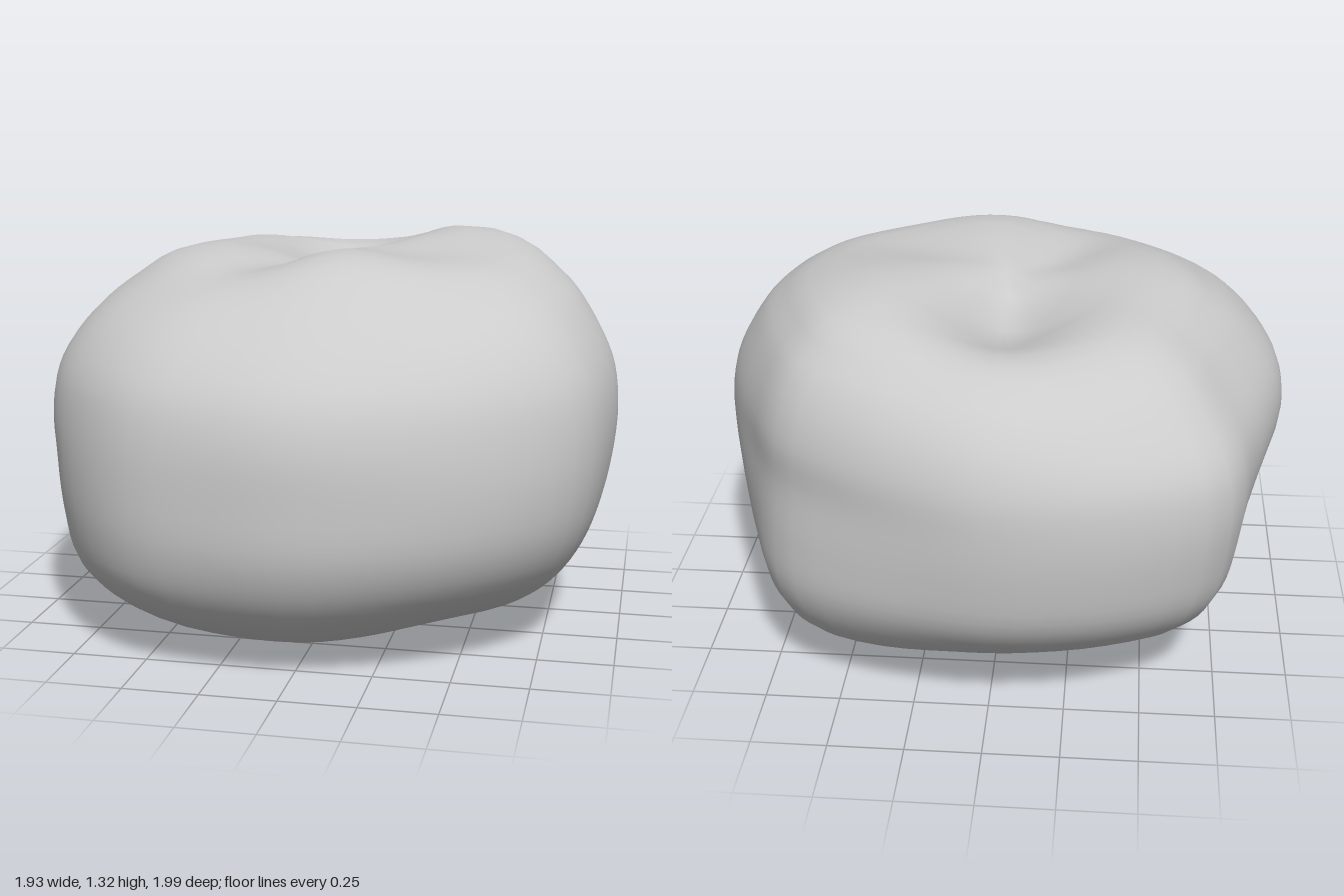
import * as THREE from 'three';
import { mergeVertices } from 'three/addons/utils/BufferGeometryUtils.js';

// Plan radius every 15 degrees, from +x round towards +z
const PLAN = [0.965, 0.99, 1.03, 1.02, 1.0, 0.99, 1.0, 1.01, 1.04, 1.04, 1.03, 0.995,
  0.965, 0.94, 0.97, 1.07, 1.04, 1.01, 0.99, 0.965, 0.965, 0.98, 0.94, 0.94];

// Heights of the cross-sections between the base and the crown
const HEIGHTS = [0.02, 0.07, 0.15, 0.27, 0.42, 0.6, 0.78, 0.93, 1.07, 1.18, 1.27];
const TOP = 1.33;

// Fraction of the plan radius at each height, every 45 degrees
const SIDES = [
  [0.45, 0.66, 0.8, 0.885, 0.945, 0.985, 1, 0.975, 0.9, 0.8, 0.6], // left
  [0.35, 0.54, 0.72, 0.88, 0.97, 1, 0.99, 0.95, 0.855, 0.71, 0.48], // front left
  [0.42, 0.68, 0.82, 0.93, 0.99, 1, 0.99, 0.935, 0.81, 0.66, 0.44], // front
  [0.45, 0.67, 0.84, 0.95, 0.99, 1, 0.985, 0.94, 0.83, 0.66, 0.42], // front right
  [0.38, 0.59, 0.78, 0.87, 0.905, 0.95, 0.995, 0.97, 0.87, 0.74, 0.55], // right
  [0.31, 0.48, 0.66, 0.83, 0.94, 0.985, 1, 0.97, 0.87, 0.75, 0.53], // back right
  [0.32, 0.48, 0.66, 0.83, 0.95, 0.99, 1, 0.985, 0.92, 0.8, 0.55], // back
  [0.42, 0.64, 0.82, 0.94, 1, 1, 0.98, 0.975, 0.925, 0.83, 0.64], // back left
];

// Closed Catmull-Rom interpolation of values spread evenly round a circle
function around(values, angle) {
  const n = values.length;
  const s = (angle / (Math.PI * 2)) * n + n;
  const i = Math.floor(s);
  const [a, b, c, d] = [-1, 0, 1, 2].map((k) => values[(i + k) % n]);
  const f = s - i;
  return b + 0.5 * f * (c - a + f * (2 * a - 5 * b + 4 * c - d + f * (3 * (b - c) + d - a)));
}

// Profile curve from base to crown in one direction: x is radius, y is height
function profileAt(angle) {
  const radius = around(PLAN, angle);
  const points = HEIGHTS.map((y, k) => new THREE.Vector2(radius * around(SIDES.map((p) => p[k]), angle), y));
  return new THREE.SplineCurve([new THREE.Vector2(0, 0), ...points, new THREE.Vector2(0, TOP)]);
}

const bump = (dx, dz, width) => Math.exp(-(dx * dx + dz * dz) / (width * width));

// Height change on the crown: stem dimple, shallow valley and two lobes
function crownOffset(x, z) {
  const { smoothstep, clamp } = THREE.MathUtils;
  const dimple = -0.1 * bump(x + 0.01, z + 0.27, 0.25);
  const valleyX = -0.12 - 0.24 * clamp(z, -0.4, 0.5);
  const fade = smoothstep(z, -0.75, -0.3) * (1 - smoothstep(z, 0.1, 0.65));
  const valley = -0.075 * bump(x - valleyX, 0, 0.17) * fade;
  const backLobe = 0.045 * bump(x - 0.4, z + 0.3, 0.33);
  const frontLobe = 0.03 * bump(x - 0.1, z - 0.38, 0.22);
  const dip = -0.04 * bump(x - 0.25, z - 0.13, 0.2);
  return dimple + valley + backLobe + frontLobe + dip;
}

function bodyGeometry() {
  let geometry = new THREE.SphereGeometry(1, 64, 48);
  geometry.deleteAttribute('uv');
  geometry.deleteAttribute('normal');
  geometry = mergeVertices(geometry, 1e-4);
  const pos = geometry.attributes.position;
  for (let i = 0; i < pos.count; i++) {
    const angle = Math.atan2(pos.getZ(i), pos.getX(i));
    const t = Math.acos(THREE.MathUtils.clamp(-pos.getY(i), -1, 1)) / Math.PI;
    const p = profileAt(angle).getPoint(t);
    const x = p.x * Math.cos(angle);
    const z = p.x * Math.sin(angle);
    const crown = THREE.MathUtils.smoothstep(p.y, 0.75, 1.15);
    pos.setXYZ(i, x, Math.max(p.y, 0) + crown * crownOffset(x, z), z);
  }
  geometry.computeVertexNormals();
  return geometry;
}

export function createModel() {
  const group = new THREE.Group();
  group.name = 'lumpyFruit';
  const body = new THREE.Mesh(bodyGeometry(), new THREE.MeshStandardMaterial({ color: 0xcccccc }));
  body.name = 'body';
  group.add(body);
  return group;
}
